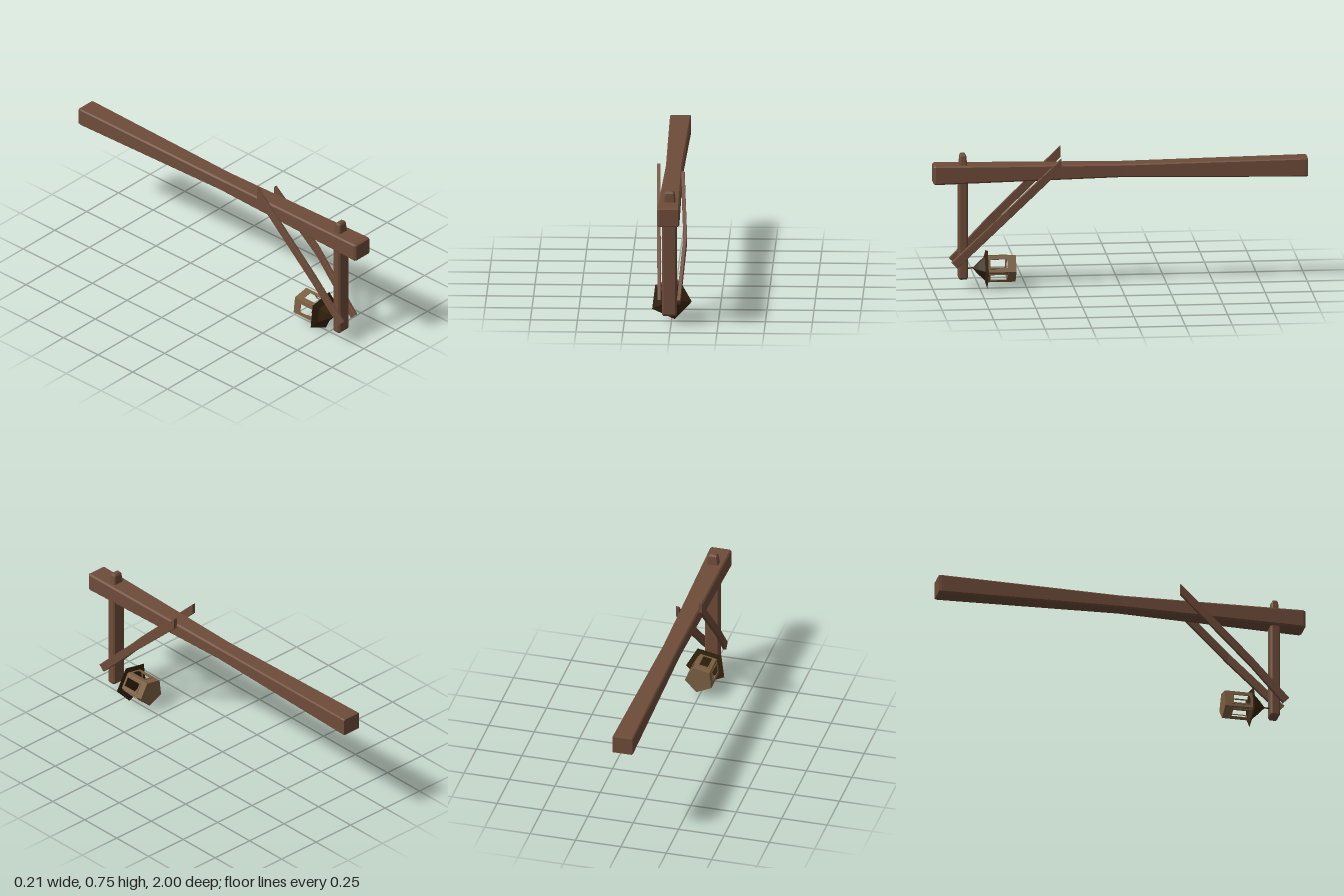
import * as THREE from 'three';

const flat = (name, color) => {
  const m = new THREE.MeshStandardMaterial({ color, flatShading: true });
  m.name = name;
  return m;
};

// Chamfered timber lofted along z. Section: [z, x0, x1, y0, y1, chamfer, shear]
function timber(sections) {
  const rings = sections.map(([z, x0, x1, y0, y1, c, shear = 0]) => [
    [x1, y0 + c], [x1, y1 - c], [x1 - c, y1], [x0 + c, y1],
    [x0, y1 - c], [x0, y0 + c], [x0 + c, y0], [x1 - c, y0],
  ].map(([x, y]) => [x, y, z + shear * (y - (y0 + y1) / 2)]));
  const pos = [];
  const tri = (...pts) => pts.forEach((p) => pos.push(...p));
  for (let s = 0; s < rings.length - 1; s++) {
    for (let i = 0; i < 8; i++) {
      const j = (i + 1) % 8, a = rings[s], b = rings[s + 1];
      tri(a[i], a[j], b[j]);
      tri(a[i], b[j], b[i]);
    }
  }
  const first = rings[0], last = rings[rings.length - 1];
  for (let i = 1; i < 7; i++) {
    tri(first[0], first[i + 1], first[i]);
    tri(last[0], last[i], last[i + 1]);
  }
  const g = new THREE.BufferGeometry();
  g.setAttribute('position', new THREE.Float32BufferAttribute(pos, 3));
  g.computeVertexNormals();
  return g;
}

// Rectangle with a rectangular opening, from half sizes
function frameShape(w, h, holeW, holeH) {
  const rect = (Type, a, b) => {
    const s = new Type();
    s.moveTo(-a, -b);
    s.lineTo(a, -b);
    s.lineTo(a, b);
    s.lineTo(-a, b);
    s.closePath();
    return s;
  };
  const shape = rect(THREE.Shape, w, h);
  shape.holes.push(rect(THREE.Path, holeW, holeH));
  return shape;
}

export function createModel() {
  const wood = flat('timber brown', 0x6e4c39);
  const dark = flat('dark roof brown', 0x36240f);
  const tan = flat('lantern tan', 0x7d6042);

  const model = new THREE.Group();
  model.name = 'hangingLanternBracket';
  const add = (name, geometry, material, parent = model) => {
    const mesh = new THREE.Mesh(geometry, material);
    mesh.name = name;
    parent.add(mesh);
    return mesh;
  };

  // Long beam, slimmer in the middle
  add('beam', timber([
    [-1, -0.063, 0.046, 0.584, 0.679, 0.004],
    [-0.985, -0.065, 0.048, 0.581, 0.681, 0.006],
    [0, -0.054, 0.036, 0.597, 0.669, 0.008],
    [0.988, -0.068, 0.05, 0.579, 0.681, 0.008],
    [1, -0.059, 0.043, 0.585, 0.675, 0.003],
  ]), wood);

  // Upright post and the tapered peg through the beam
  const upright = (sections) => timber(sections).rotateX(-Math.PI / 2);
  add('post', upright([
    [0.056, -0.04, 0.026, -0.858, -0.822, 0.004],
    [0.067, -0.047, 0.033, -0.866, -0.814, 0.009],
    [0.6, -0.047, 0.033, -0.866, -0.814, 0.009],
  ]), wood);
  add('peg', upright([
    [0.66, -0.043, 0.028, -0.863, -0.817, 0.007],
    [0.727, -0.034, 0.019, -0.857, -0.823, 0.006],
    [0.737, -0.027, 0.012, -0.851, -0.829, 0.003],
  ]), wood);

  // Diagonal braces on either side of the beam; stations are [z, x, y, half height, shear]
  const brace = (stations) => timber(stations.map(([z, x, y, h, shear]) =>
    [z, x - 0.0095, x + 0.0095, y - h, y + h, 0.0015, shear]));
  add('rightBrace', brace([
    [0.312, -0.081, 0.722, 0.03, 0],
    [0.7, -0.068, 0.345, 0.03, 0],
    [0.892, -0.06, 0.141, 0.016, 1],
  ]), wood);
  add('leftBrace', brace([
    [0.318, 0.047, 0.68, 0.03, 0],
    [0.605, 0.069, 0.415, 0.03, 0],
    [0.89, 0.043, 0.139, 0.016, 1],
  ]), wood);

  // Five-sided lantern lying along z
  const lantern = new THREE.Group();
  lantern.name = 'lantern';
  lantern.position.set(-0.005, 0.112, 0);
  model.add(lantern);
  const corner = THREE.MathUtils.degToRad(-7);
  const step = (Math.PI * 2) / 5;
  const pentagonal = (profile) => new THREE.LatheGeometry(
    profile.map(([r, z]) => new THREE.Vector2(r, z)), 5, corner + Math.PI / 2).rotateX(Math.PI / 2);

  add('lanternRoof', pentagonal([
    [0, 0.71], [0.113, 0.711], [0.066, 0.725], [0.035, 0.758], [0, 0.79],
  ]), dark, lantern);
  const hook = add('lanternHook', new THREE.CylinderGeometry(0.004, 0.004, 0.05, 6), dark, lantern);
  hook.rotation.x = Math.PI / 2;
  hook.position.z = 0.8;
  add('lanternBase', pentagonal([[0, 0.56], [0.078, 0.56], [0.078, 0.564]]), tan, lantern);

  // Side panels with open windows and a raised trim
  const radius = 0.078;
  const half = radius * Math.sin(step / 2);
  const panelGeometry = new THREE.ShapeGeometry(frameShape(half, 0.075, 0.026, 0.047));
  const trimGeometry = new THREE.ExtrudeGeometry(frameShape(0.031, 0.053, 0.024, 0.045),
    { depth: 0.003, bevelEnabled: false });
  for (let i = 0; i < 5; i++) {
    const angle = corner + step * (i + 0.5);
    const out = new THREE.Vector3(Math.cos(angle), Math.sin(angle), 0);
    const along = new THREE.Vector3(0, 0, 1);
    const side = new THREE.Group();
    side.name = 'lanternSide' + (i + 1);
    side.quaternion.setFromRotationMatrix(new THREE.Matrix4().makeBasis(
      new THREE.Vector3().crossVectors(along, out), along, out));
    side.position.copy(out).multiplyScalar(radius * Math.cos(step / 2)).setZ(0.636);
    lantern.add(side);
    add('panel', panelGeometry, tan, side);
    add('windowTrim', trimGeometry, tan, side).position.set(0, 0.016, 0);
    side.children[0].geometry = panelGeometry;
  }
  // Shift the panel openings to line up with the trims
  const p = panelGeometry.attributes.position;
  for (let i = 0; i < p.count; i++) {
    if (Math.abs(p.getY(i)) < 0.06) p.setY(i, p.getY(i) + 0.016);
  }
  return model;
}
